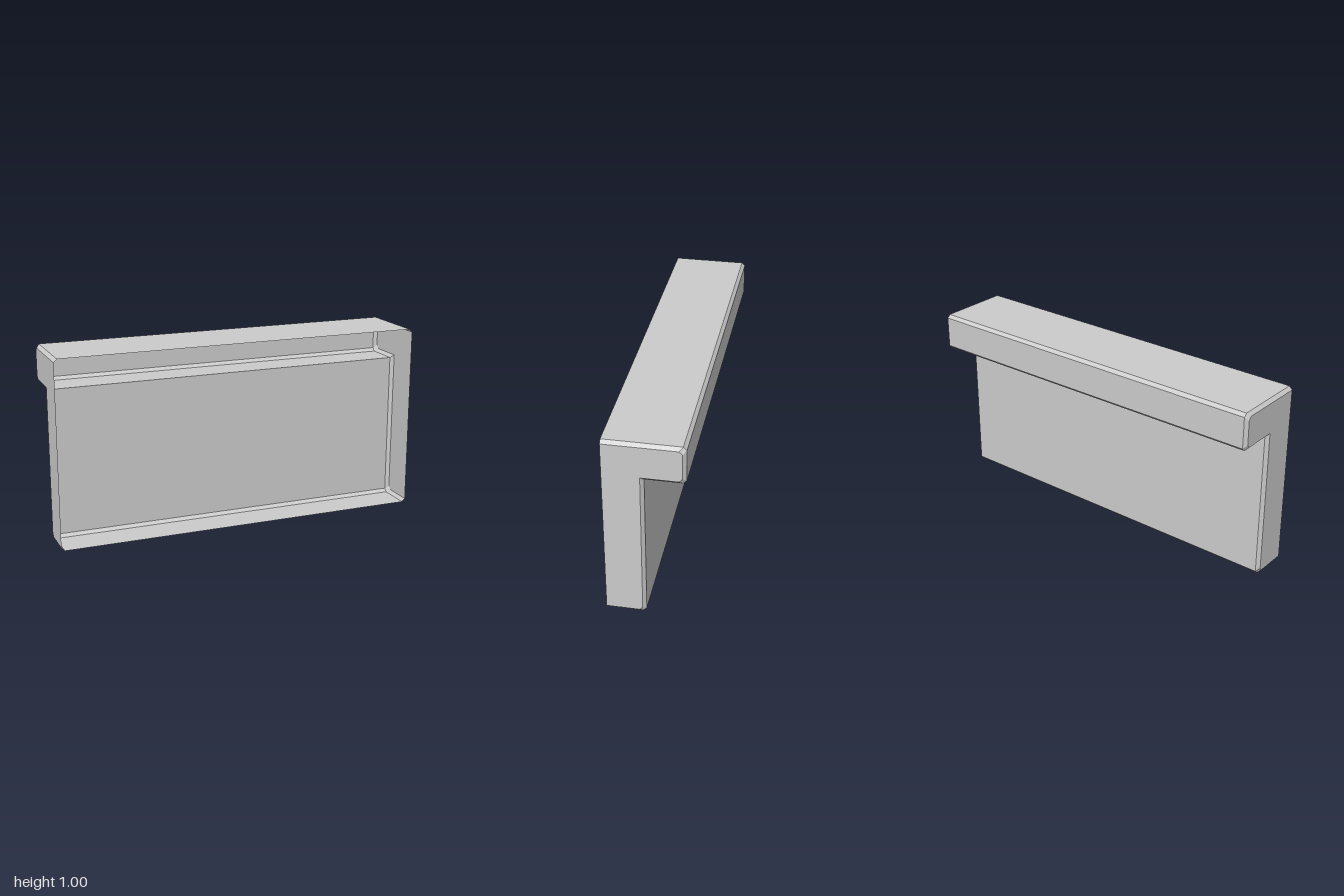
import * as THREE from 'three';

const BEVEL = 0.017;
const HALF = 1;

// Corners of the open L profile as [z, y, inward z, inward y, chamfered]
const CORNERS = [
  [0.2, 0, 0, 1, false],
  [0, 0, 1, 1, true],
  [0, 0.8, 1, 1, false],
  [-0.2, 0.8, 1, 1, true],
  [-0.2, 1, 1, -1, true],
  [0.2, 1, 0, -1, false],
];

// Profile pulled inward by d, with its outer corners cut at 45 degrees
function profile(d) {
  const base = CORNERS.map(([z, y, iz, iy]) => new THREE.Vector2(z + iz * d, y + iy * d));
  return base.flatMap((p, i) => {
    if (!CORNERS[i][4]) return [p];
    return [base[i - 1], base[i + 1]].map((q) =>
      p.clone().add(q.clone().sub(p).setLength(BEVEL)));
  });
}

// Skin joining the profile sections along x, open at the front
function skinGeometry() {
  const sections = [[-HALF, BEVEL], [-HALF + BEVEL, 0], [HALF - BEVEL, 0], [HALF, BEVEL]]
    .map(([x, d]) => profile(d).map((p) => [x, p.y, p.x]));
  const positions = [];
  for (let j = 0; j < sections.length - 1; j++) {
    for (let i = 0; i < sections[j].length - 1; i++) {
      const a = sections[j][i], b = sections[j][i + 1];
      const c = sections[j + 1][i + 1], d = sections[j + 1][i];
      positions.push(...a, ...b, ...c, ...a, ...c, ...d);
    }
  }
  const geometry = new THREE.BufferGeometry();
  geometry.setAttribute('position', new THREE.Float32BufferAttribute(positions, 3));
  geometry.computeVertexNormals();
  return geometry;
}

// Flat end plate on the given side
function endGeometry(side) {
  const shape = new THREE.Shape(profile(BEVEL).map((p) => new THREE.Vector2(-side * p.x, p.y)));
  return new THREE.ShapeGeometry(shape).rotateY(side * Math.PI / 2).translate(side * HALF, 0, 0);
}

export function createModel() {
  const group = new THREE.Group();
  group.name = 'ledgeWallPanel';
  const material = new THREE.MeshStandardMaterial({
    color: 0xcccccc, flatShading: true, side: THREE.DoubleSide,
  });
  const add = (name, geometry) => {
    const mesh = new THREE.Mesh(geometry, material);
    mesh.name = name;
    group.add(mesh);
  };

  add('wallAndLedge', skinGeometry());
  add('leftEnd', endGeometry(1));
  add('rightEnd', endGeometry(-1));
  return group;
}
